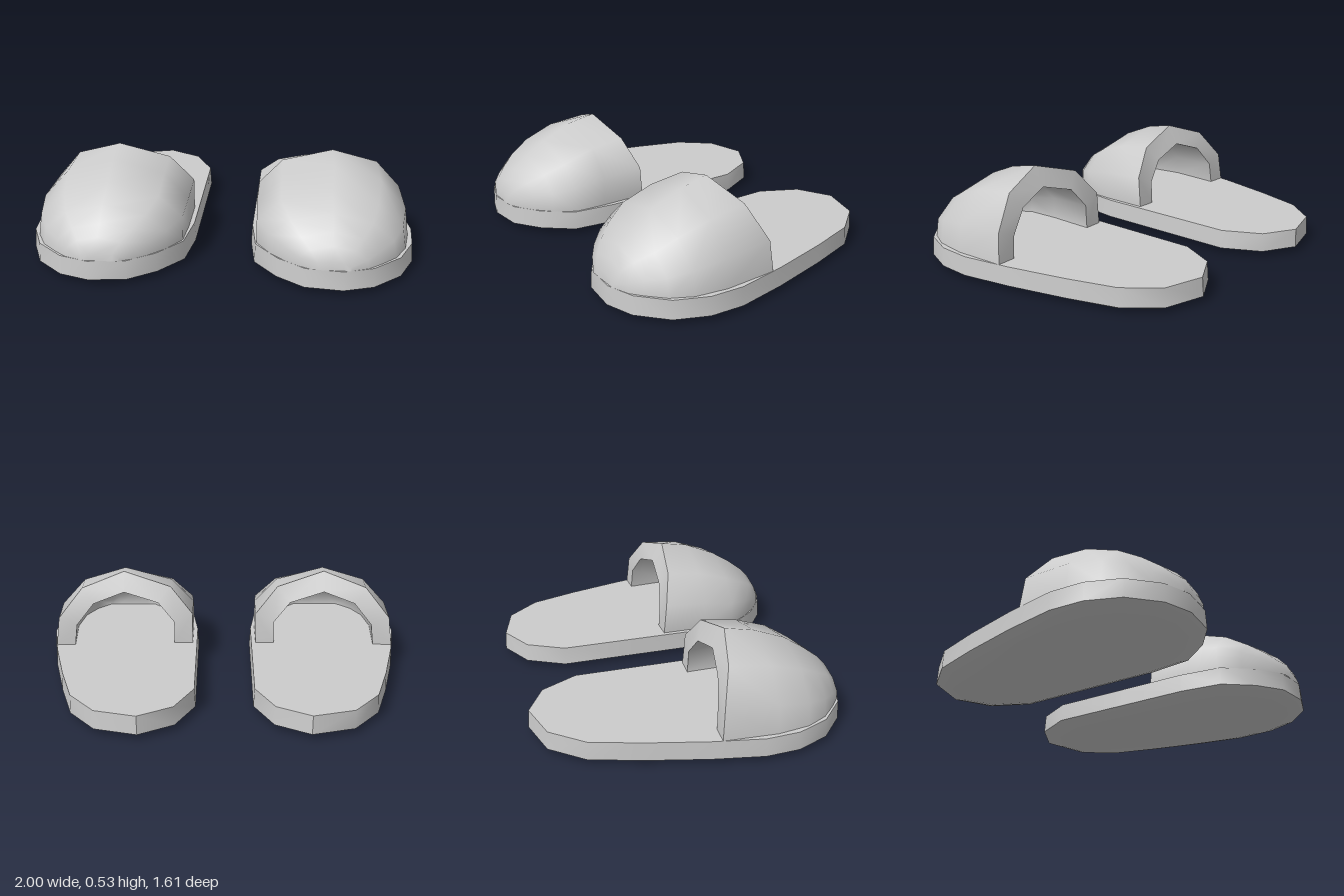
import * as THREE from 'three';
import { toCreasedNormals } from 'three/addons/utils/BufferGeometryUtils.js';

const FLOOR = 0.13; // top of the sole

// Skin a list of equal-length point rings; mirror flips the part to the other foot.
function loft(rings, { closed = false, flip = false, mirror = false, crease = 0.7 } = {}) {
  const n = rings[0].length, index = [], s = mirror ? -1 : 1;
  const pos = rings.flat().flatMap(([x, y, z]) => [s * x, y, z]);
  const point = i => new THREE.Vector3().fromArray(pos, i * 3);
  const tri = (a, b, c) => {
    const area = new THREE.Triangle(point(a), point(b), point(c)).getArea();
    if (area > 1e-7) index.push(...(flip !== mirror ? [a, c, b] : [a, b, c]));
  };
  for (let i = 0; i < rings.length - 1; i++) {
    for (let j = 0; j < (closed ? n : n - 1); j++) {
      const k = (j + 1) % n, a = i * n + j, b = i * n + k, c = b + n, d = a + n;
      tri(a, d, c);
      tri(a, c, b);
    }
  }
  const geo = new THREE.BufferGeometry();
  geo.setAttribute('position', new THREE.Float32BufferAttribute(pos, 3));
  geo.setIndex(index);
  return toCreasedNormals(geo, crease);
}

// Sole plan, clockwise from the heel, as [x, z]
const OUTLINE = [
  [0.43, -0.81], [0.65, -0.75], [0.79, -0.58], [0.87, -0.32], [0.95, 0], [1, 0.27],
  [0.99, 0.45], [0.92, 0.62], [0.78, 0.75], [0.63, 0.8], [0.44, 0.78], [0.3, 0.68],
  [0.18, 0.53], [0.15, 0.3], [0.15, -0.1], [0.15, -0.51], [0.25, -0.71],
];

function soleRing(y, inset) {
  const sx = 1 - inset / 0.425, sz = 1 - inset / 0.81;
  return OUTLINE.map(([x, z]) => [0.575 + (x - 0.575) * sx, y, z * sz]);
}

// Arch of the upper across the foot: [side -1..1, height 0..1]
const ARCH = [[-1, 0], [-1, 0.43], [-0.68, 0.8], [0, 1], [0.61, 0.8], [0.95, 0.4], [1, 0]];

// Stations along the upper: [z, inner x, outer x, height above the sole]
const BACK = [0, 0.18, 0.955, 0.4];
const STATIONS = [
  [0.34, 0.18, 0.97, 0.37], [0.51, 0.19, 0.945, 0.3], [0.62, 0.26, 0.89, 0.228],
  [0.7, 0.34, 0.81, 0.165], [0.75, 0.41, 0.75, 0.11], [0.78, 0.47, 0.67, 0.045],
  [0.785, 0.48, 0.66, 0],
];

function archRing([z, x0, x1, h], inset = 0) {
  const mid = (x0 + x1) / 2, half = Math.max((x1 - x0) / 2 - inset, 0);
  const height = Math.max(h - inset, 0);
  return ARCH.map(([u, v]) => [mid + u * half, FLOOR + v * height, z]);
}

// The opening leans forward with height and runs slightly askew across the foot.
function openingRing(inset) {
  return archRing(BACK, inset).map(([x, y]) => {
    const v = (y - FLOOR) / BACK[3];
    return [x, y, 0.097 - 0.042 * x + 0.11 * Math.pow(v, 2.5)];
  });
}

function createSlipper(mirror) {
  const slipper = new THREE.Group();
  const material = new THREE.MeshStandardMaterial({ color: 0xcccccc, side: THREE.DoubleSide });
  const add = (name, geometry) => {
    const mesh = new THREE.Mesh(geometry, material);
    mesh.name = name;
    slipper.add(mesh);
  };

  // Sole with a rounded underside, closed by fans at both ends
  const centre = y => OUTLINE.map(() => [0.575, y, 0]);
  add('sole', loft([
    centre(0), soleRing(0, 0.09), soleRing(0.01, 0.05), soleRing(0.03, 0),
    soleRing(FLOOR, 0.006), centre(FLOOR),
  ], { closed: true, mirror }));

  // Domed toe cover
  const outer = [openingRing(0), ...STATIONS.map(s => archRing(s))];
  add('upper', loft(outer, { mirror, crease: 1.2 }));

  // Thick edge round the foot opening
  add('openingRim', loft([openingRing(0.105), openingRing(0)], { mirror }));

  // Inside of the toe cover, closed at the toe
  const inner = [openingRing(0.105), ...STATIONS.slice(0, 4).map(s => archRing(s, 0.1))];
  inner.push(archRing([0.7, 0.34, 0.81, 0], 0.1));
  add('lining', loft(inner, { flip: true, mirror, crease: 1.2 }));
  return slipper;
}

export function createModel() {
  const model = new THREE.Group();
  model.name = 'slippers';
  for (const mirror of [false, true]) {
    const slipper = createSlipper(mirror);
    slipper.name = mirror ? 'rightSlipper' : 'leftSlipper';
    model.add(slipper);
  }
  return model;
}
